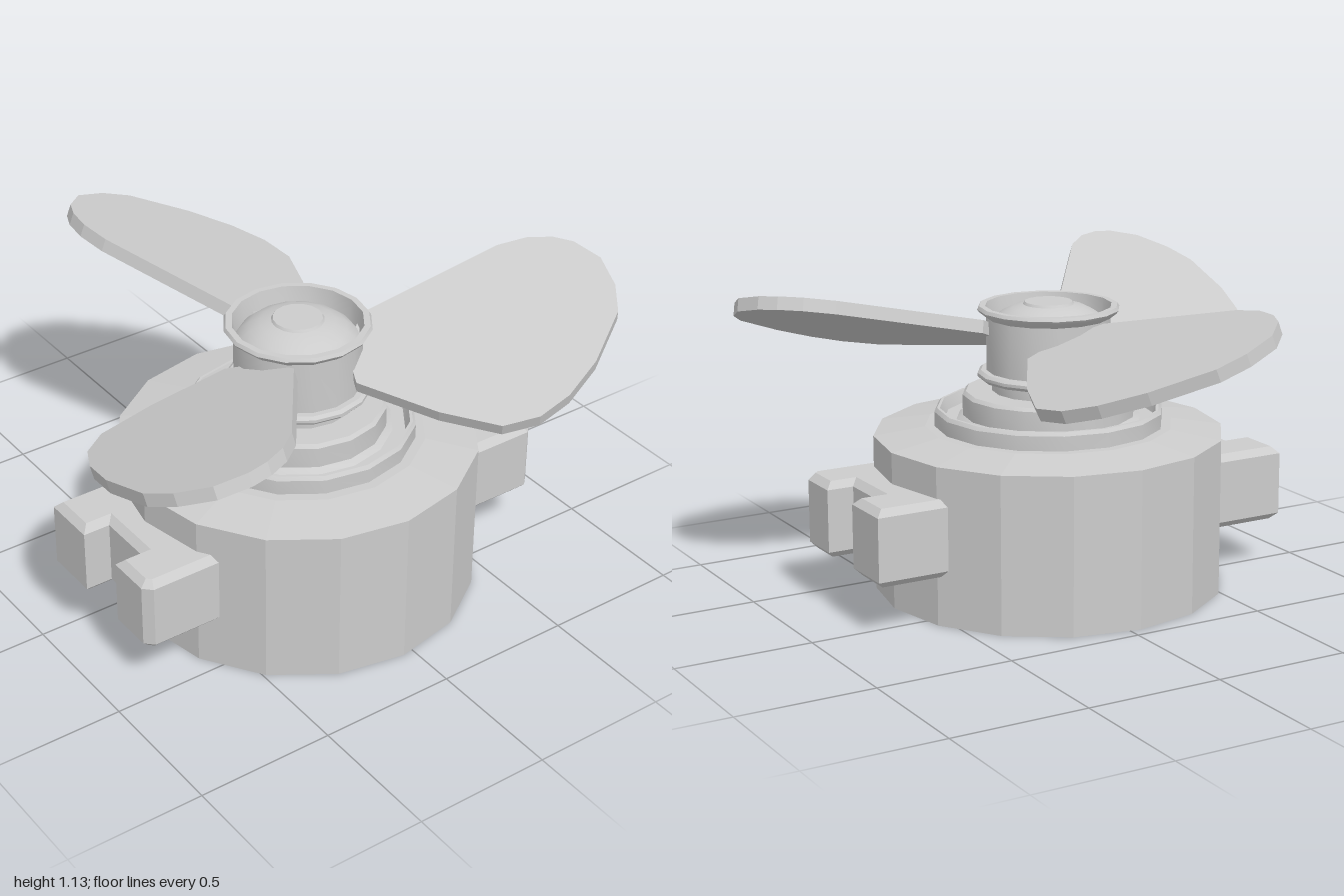
import * as THREE from 'three';
import { toCreasedNormals } from 'three/addons/utils/BufferGeometryUtils.js';

const SIDES = 16;
const flat = new THREE.MeshStandardMaterial({ color: 0xcccccc, flatShading: true });
const smooth = new THREE.MeshStandardMaterial({ color: 0xcccccc });

const vecs = (pts) => pts.map(([x, y]) => new THREE.Vector2(x, y));

function add(parent, name, geometry, material) {
  const mesh = new THREE.Mesh(geometry, material);
  mesh.name = name;
  parent.add(mesh);
  return mesh;
}

function lathe(profile) {
  return new THREE.LatheGeometry(vecs(profile), SIDES);
}

// Clamp-shaped lug, drawn in plan as (x, -z) and extruded upwards with a chamfer
function lugGeometry(side) {
  const bevel = 0.025, bottom = 0.18, top = 0.46;
  const plan = [
    [0.5, 0.28], [0.83, 0.28], [0.83, 0.08], [0.73, 0.08],
    [0.73, -0.12], [0.83, -0.12], [0.83, -0.28], [0.8, -0.31], [0.5, -0.31],
  ].map(([x, y]) => [x * side, y]);
  const geo = new THREE.ExtrudeGeometry(new THREE.Shape(vecs(plan)), {
    depth: top - bottom - 2 * bevel,
    bevelThickness: bevel, bevelSize: bevel, bevelOffset: -bevel, bevelSegments: 1,
  });
  geo.rotateX(-Math.PI / 2);
  geo.translate(0, bottom + bevel, 0);
  return geo;
}

// Flat blade: outline as (sideways, radial), laid on a pitched plane pointing to -z
function bladeGeometry() {
  const outline = [
    [-0.09, 0.23], [-0.31, 0.73], [-0.33, 0.84], [-0.32, 0.93], [-0.29, 1.0],
    [-0.21, 1.08], [-0.09, 1.11], [0.02, 1.1], [0.21, 0.99], [0.33, 0.88],
    [0.4, 0.77], [0.42, 0.64], [0.34, 0.44], [0.19, 0.18], [0.05, 0.16],
  ];
  const height = 0.949, pitch = -0.36, rise = 0.073, thickness = 0.047;
  const normal = new THREE.Vector3(-pitch, 1, rise).normalize();
  const geo = new THREE.ExtrudeGeometry(new THREE.Shape(vecs(outline)), {
    depth: thickness, bevelEnabled: false,
  });
  const pos = geo.attributes.position;
  const p = new THREE.Vector3();
  for (let i = 0; i < pos.count; i++) {
    const t = pos.getX(i), r = pos.getY(i), d = pos.getZ(i) - thickness;
    p.set(t, height + pitch * t + rise * r, -r).addScaledVector(normal, d);
    pos.setXYZ(i, p.x, p.y, p.z);
  }
  geo.computeVertexNormals();
  return geo;
}

export function createModel() {
  const model = new THREE.Group();
  model.name = 'propellerMotor';

  // Everything is laid out around the motor axis
  const body = new THREE.Group();
  body.name = 'motor';
  body.position.set(-0.04, 0, 0.18);
  model.add(body);

  // Drum with a shallow sloping top
  add(body, 'housing', lathe([
    [0, 0], [0.636, 0], [0.636, 0.573], [0.45, 0.602], [0, 0.602],
  ]), flat);

  // Raised lip, groove, inner step and neck
  add(body, 'collar', toCreasedNormals(lathe([
    [0.415, 0.59], [0.415, 0.655], [0.405, 0.668], [0.395, 0.668], [0.38, 0.625],
    [0.335, 0.625], [0.312, 0.64], [0.312, 0.715], [0.3, 0.727],
    [0.205, 0.727], [0.205, 0.78],
  ]), 0.5), smooth);

  // Hub with a lower flange, flared rim and domed cap
  add(body, 'hub', toCreasedNormals(lathe([
    [0, 0.77], [0.245, 0.77], [0.257, 0.782], [0.257, 0.793], [0.245, 0.803],
    [0.225, 0.803], [0.225, 0.995], [0.25, 1.015], [0.257, 1.025], [0.25, 1.037],
    [0.228, 1.037], [0.215, 0.965],
  ]), 0.5), smooth);
  add(body, 'hubCap', toCreasedNormals(lathe([
    [0.216, 0.965], [0.2, 0.985], [0.17, 1.01], [0.13, 1.03], [0.092, 1.04],
    [0.086, 1.049], [0, 1.049],
  ]), 0.5), smooth);

  // Mounting lugs on both sides
  add(body, 'leftLug', lugGeometry(1), flat);
  add(body, 'rightLug', lugGeometry(-1), flat);

  // Three blades
  const blade = bladeGeometry();
  for (let i = 0; i < 3; i++) {
    add(body, `blade${i + 1}`, blade, flat).rotation.y = (i * 2 * Math.PI) / 3;
  }

  return model;
}
